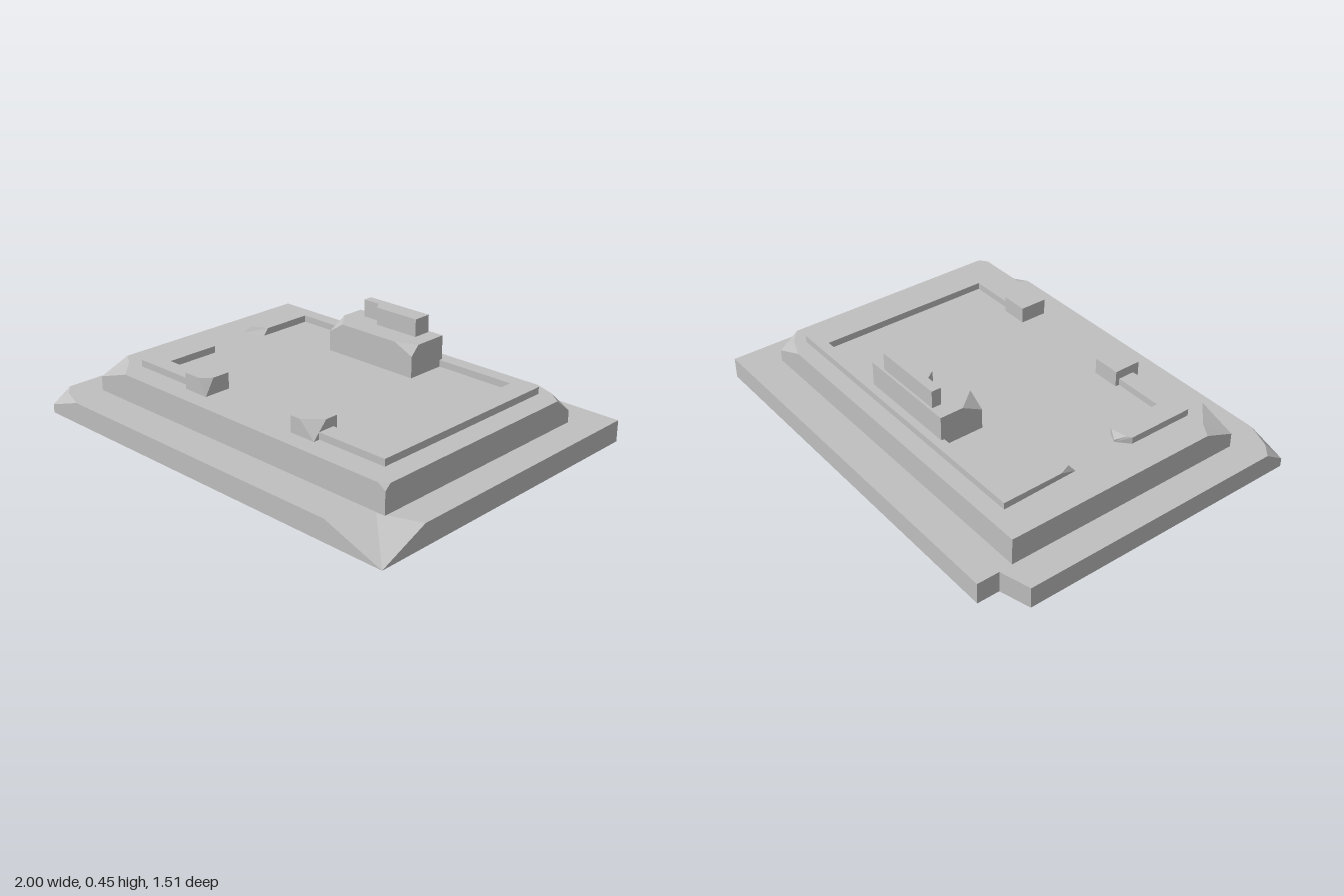
import * as THREE from 'three';

const stone = new THREE.MeshStandardMaterial({ color: 0xc0c0c0, flatShading: true, side: THREE.DoubleSide });
stone.name = 'stone';

const rect = (x0, x1, z0, z1) => [[x0, z0], [x0, z1], [x1, z1], [x1, z0]];

// Upright block with an open underside. The [x, z] outline runs anticlockwise seen from above.
// A chip at an outline corner lowers that corner to y and cuts the top face back to the rim points.
function block(name, outline, y0, y1, chips = {}) {
  const pos = [];
  const tri = (a, b, c) => {
    if (a.equals(b) || b.equals(c) || c.equals(a)) return;
    for (const p of [a, b, c]) pos.push(p.x, p.y, p.z);
  };
  const corners = outline.map(([x, z], i) => {
    const chip = chips[i] || { y: y1, rim: [[x, z]] };
    return {
      base: new THREE.Vector3(x, y0, z),
      low: new THREE.Vector3(x, chip.y, z),
      rim: chip.rim.map(([rx, rz]) => new THREE.Vector3(rx, y1, rz)),
    };
  });
  corners.forEach((a, i) => {
    const b = corners[(i + 1) % corners.length];
    // side wall
    const wall = [a.base, b.base, b.low, b.rim[0], a.rim[a.rim.length - 1], a.low];
    for (let k = 1; k < wall.length - 1; k++) tri(wall[0], wall[k], wall[k + 1]);
    // broken corner facets
    for (let k = 0; k < a.rim.length - 1; k++) tri(a.low, a.rim[k + 1], a.rim[k]);
  });
  // top face
  const top = corners.flatMap(c => c.rim);
  const flat = top.map(p => new THREE.Vector2(p.x, -p.z));
  for (const [a, b, c] of THREE.ShapeUtils.triangulateShape(flat, [])) tri(top[a], top[b], top[c]);

  const geo = new THREE.BufferGeometry();
  geo.setAttribute('position', new THREE.Float32BufferAttribute(pos, 3));
  geo.computeVertexNormals();
  const mesh = new THREE.Mesh(geo, stone);
  mesh.name = name;
  return mesh;
}

export function createModel() {
  const model = new THREE.Group();
  model.name = 'ruinedPlatform';

  // Lower step, with a notch at one back corner
  model.add(block('lowerStep',
    [[-0.86, -0.755], [-0.86, -0.65], [-1, -0.61], [-1, 0.755], [1, 0.755], [1, -0.755]], 0, 0.1, {
      3: { y: 0.04, rim: [[-1, 0.66], [-0.94, 0.71], [-0.82, 0.755]] },
      4: { y: 0, rim: [[0.71, 0.755], [0.82, 0.59], [1, 0.52]] },
    }));

  // Upper step
  model.add(block('upperStep', rect(-0.857, 0.857, -0.587, 0.583), 0.1, 0.225, {
    1: { y: 0.167, rim: [[-0.857, 0.435], [-0.785, 0.48], [-0.68, 0.583]] },
    2: { y: 0.2, rim: [[0.82, 0.583], [0.857, 0.555]] },
    3: { y: 0.155, rim: [[0.857, -0.495], [0.79, -0.55], [0.69, -0.587]] },
  }));

  // Low curb around the floor, broken open at the front and one side
  model.add(block('backCurb', [
    [-0.705, -0.507], [-0.695, -0.14], [-0.6, -0.18], [-0.6, -0.455], [0.64, -0.455],
    [0.64, 0.39], [0.35, 0.39], [0.35, 0.47], [0.752, 0.47], [0.752, -0.507]], 0.225, 0.257, {
    1: { y: 0.225, rim: [[-0.703, -0.22], [-0.68, -0.165]] },
    2: { y: 0.225, rim: [[-0.6, -0.205]] },
  }));
  model.add(block('frontCurb', [
    [-0.705, 0.155], [-0.705, 0.47], [-0.3, 0.47], [-0.3, 0.39],
    [-0.6, 0.39], [-0.6, 0.13], [-0.65, 0.105]], 0.225, 0.257, {
    6: { y: 0.235, rim: [[-0.61, 0.125], [-0.685, 0.14]] },
  }));

  // Entrance posts
  model.add(block('rightPost', rect(-0.365, -0.235, 0.37, 0.5), 0.225, 0.3, {
    2: { y: 0.225, rim: [[-0.275, 0.5], [-0.235, 0.455]] },
  }));
  model.add(block('leftPost', rect(0.278, 0.407, 0.37, 0.5), 0.225, 0.3, {
    2: { y: 0.225, rim: [[0.33, 0.5], [0.407, 0.43]] },
  }));

  // Pedestal and the broken slab on it
  model.add(block('pedestal', rect(-0.245, 0.25, -0.47, -0.262), 0.225, 0.37, {
    1: { y: 0.318, rim: [[-0.245, -0.36], [-0.165, -0.262]] },
    2: { y: 0.325, rim: [[0.15, -0.262], [0.25, -0.305]] },
  }));
  model.add(block('brokenSlab', [
    [-0.17, -0.458], [-0.17, -0.413], [-0.083, -0.413], [-0.053, -0.37],
    [0.177, -0.37], [0.177, -0.458]], 0.37, 0.452));

  return model;
}
